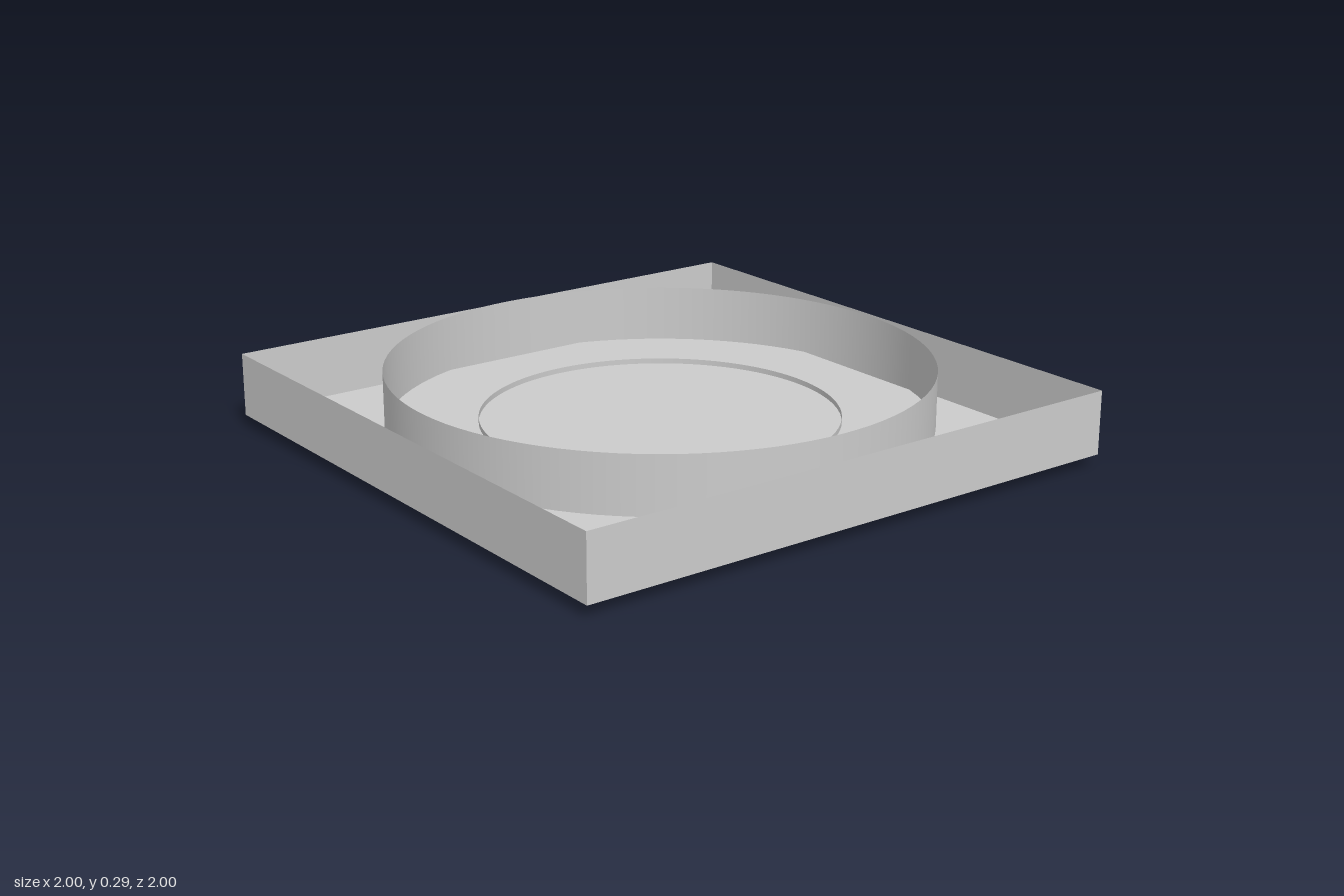
import * as THREE from 'three';

const SEGMENTS = 96;
const CENTRE = 0.008; // the round parts sit very slightly off centre

export function createModel() {
  const model = new THREE.Group();
  const material = new THREE.MeshStandardMaterial({ color: 0xcccccc, side: THREE.DoubleSide });

  function add(parent, name, geometry) {
    const mesh = new THREE.Mesh(geometry, material);
    mesh.name = name;
    parent.add(mesh);
    return mesh;
  }

  // Each straight run of the profile is a separate band, so its edges stay sharp
  function addTurned(name, profile) {
    const group = new THREE.Group();
    group.name = name;
    group.position.set(CENTRE, 0, CENTRE);
    for (let i = 0; i < profile.length - 1; i++) {
      const points = [profile[i], profile[i + 1]].map(([r, y]) => new THREE.Vector2(r, y));
      add(group, name + 'Band', new THREE.LatheGeometry(points, SEGMENTS));
    }
    model.add(group);
  }

  // Four thin walls of the square tray
  for (let i = 0; i < 4; i++) {
    const wall = new THREE.PlaneGeometry(2, 0.215);
    wall.translate(0, 0.1475, 1).rotateY(i * Math.PI / 2);
    add(model, 'trayWall', wall);
  }

  // Tray floor with a round opening, facing down
  const floor = new THREE.Shape([[-1, -1], [1, -1], [1, 1], [-1, 1]].map(([x, y]) => new THREE.Vector2(x, y)));
  floor.holes.push(new THREE.Path().absarc(CENTRE, CENTRE, 0.896, 0, Math.PI * 2, true));
  add(model, 'trayFloor', new THREE.ShapeGeometry(floor, SEGMENTS / 2).rotateX(Math.PI / 2)).position.y = 0.04;

  // Raised square sheet inside the tray
  add(model, 'innerSheet', new THREE.PlaneGeometry(1.69, 1.69).rotateX(-Math.PI / 2)).position.y = 0.102;

  // Tall outer ring, chamfered at the foot, with the groove's outer wall
  addTurned('outerRing', [[0.716, 0.102], [0.716, 0], [0.877, 0], [0.896, 0.03], [0.896, 0.295]]);

  // Inner ring between the groove and the central recess, with a low lip above the sheet
  addTurned('innerRing', [[0.593, 0.12], [0.593, 0], [0.653, 0], [0.653, 0.102]]);

  return model;
}
